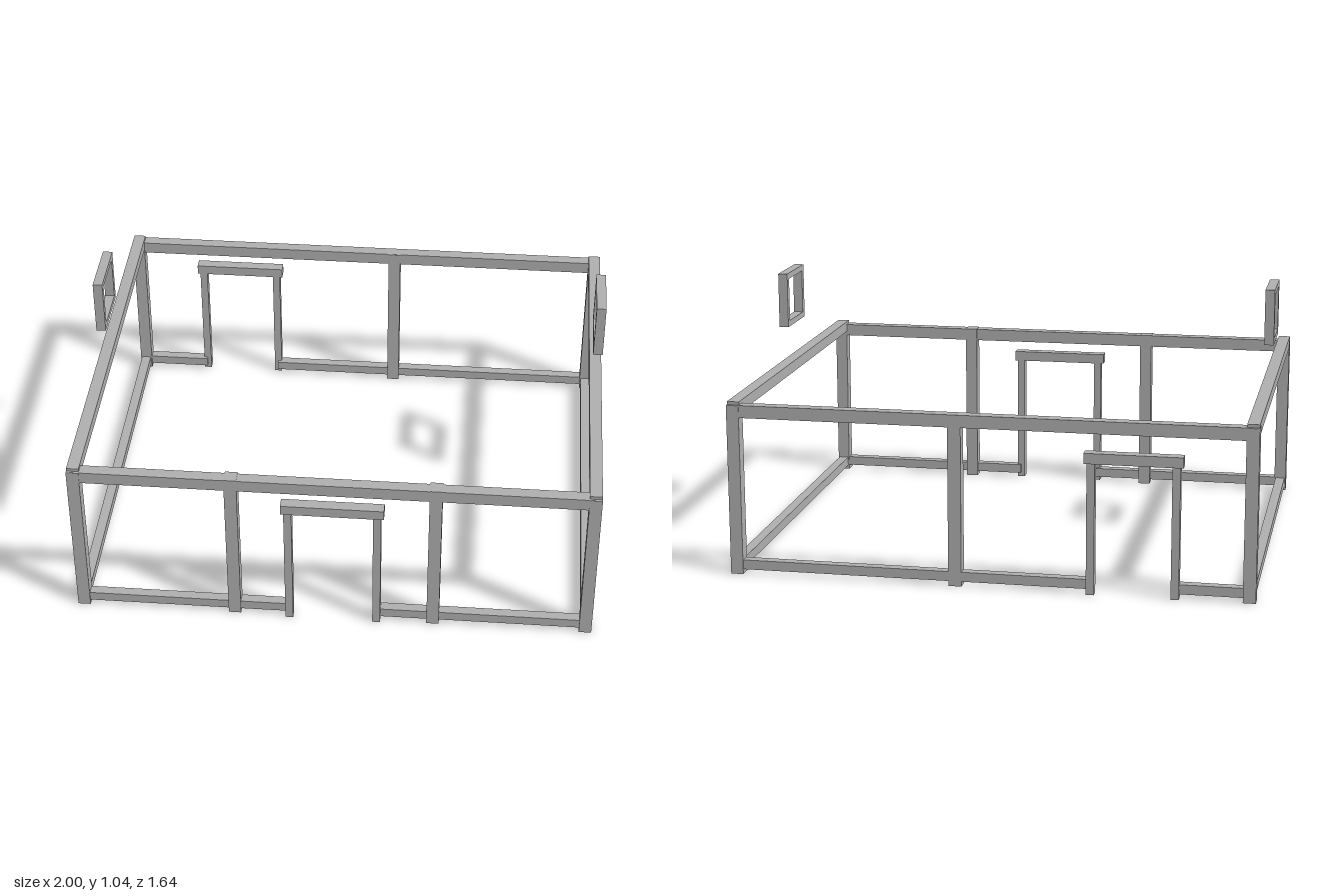
import * as THREE from 'three';

export function createModel() {
  const model = new THREE.Group();
  model.name = 'houseFrame';
  const grey = new THREE.MeshStandardMaterial({ color: 0xb0b0b0 });
  grey.name = 'grey';

  // Box given by its minimum and maximum along each axis
  function bar(parent, name, [x0, x1], [y0, y1], [z0, z1]) {
    const mesh = new THREE.Mesh(new THREE.BoxGeometry(x1 - x0, y1 - y0, z1 - z0), grey);
    mesh.position.set((x0 + x1) / 2, (y0 + y1) / 2, (z0 + z1) / 2);
    mesh.name = name;
    parent.add(mesh);
  }
  // Range mirrored to the negative side when s is -1
  const side = (s, a, b) => (s > 0 ? [a, b] : [-b, -a]);

  // Corner posts
  for (const sx of [-1, 1]) for (const sz of [-1, 1])
    bar(model, 'cornerPost', side(sx, 0.952, 1), [0, 0.66], side(sz, 0.756, 0.806));

  // Wall posts: two in front, one at the back
  for (const x of [-0.383, 0.387])
    bar(model, 'frontPost', [x - 0.024, x + 0.024], [0, 0.663], [0.752, 0.805]);
  bar(model, 'backPost', [0.102, 0.152], [0, 0.66], [-0.804, -0.755]);

  // Top beams
  for (const s of [-1, 1]) {
    bar(model, 'longTopBeam', [-0.998, 0.998], [0.613, 0.661], side(s, 0.758, 0.804));
    bar(model, 'sideTopBeam', side(s, 0.952, 0.999), [0.63, 0.673], [-0.796, 0.796]);
    bar(model, 'sideSill', side(s, 0.957, 0.995), [0.017, 0.054], [-0.76, 0.76]);
  }

  // Doors with the sills that stop at their jambs
  function door(name, x, s, half, top) {
    const group = new THREE.Group();
    group.name = name;
    model.add(group);
    bar(group, 'lintel', [x - half, x + half], [top - 0.04, top], side(s, 0.776, 0.82));
    for (const d of [-1, 1]) {
      const c = x + d * (half - 0.026);
      bar(group, 'jamb', [c - 0.015, c + 0.015], [0, top - 0.04], side(s, 0.776, 0.815));
      bar(model, 'sill', d < 0 ? [-0.96, c] : [c, 0.96], [0.018, 0.055], side(s, 0.762, 0.8));
    }
  }
  door('frontDoor', 0, 1, 0.195, 0.565);
  door('backDoor', -0.544, -1, 0.184, 0.543);

  // Floating window frames above the side walls
  for (const s of [-1, 1]) {
    const group = new THREE.Group();
    group.name = s > 0 ? 'leftWindow' : 'rightWindow';
    model.add(group);
    const x = side(s, 0.956, 0.993);
    bar(group, 'windowTop', x, [1.017, 1.04], [-0.117, 0.117]);
    bar(group, 'windowBottom', x, [0.823, 0.846], [-0.117, 0.117]);
    for (const d of [-1, 1])
      bar(group, 'windowSide', x, [0.846, 1.017], side(d, 0.092, 0.117));
  }
  return model;
}
